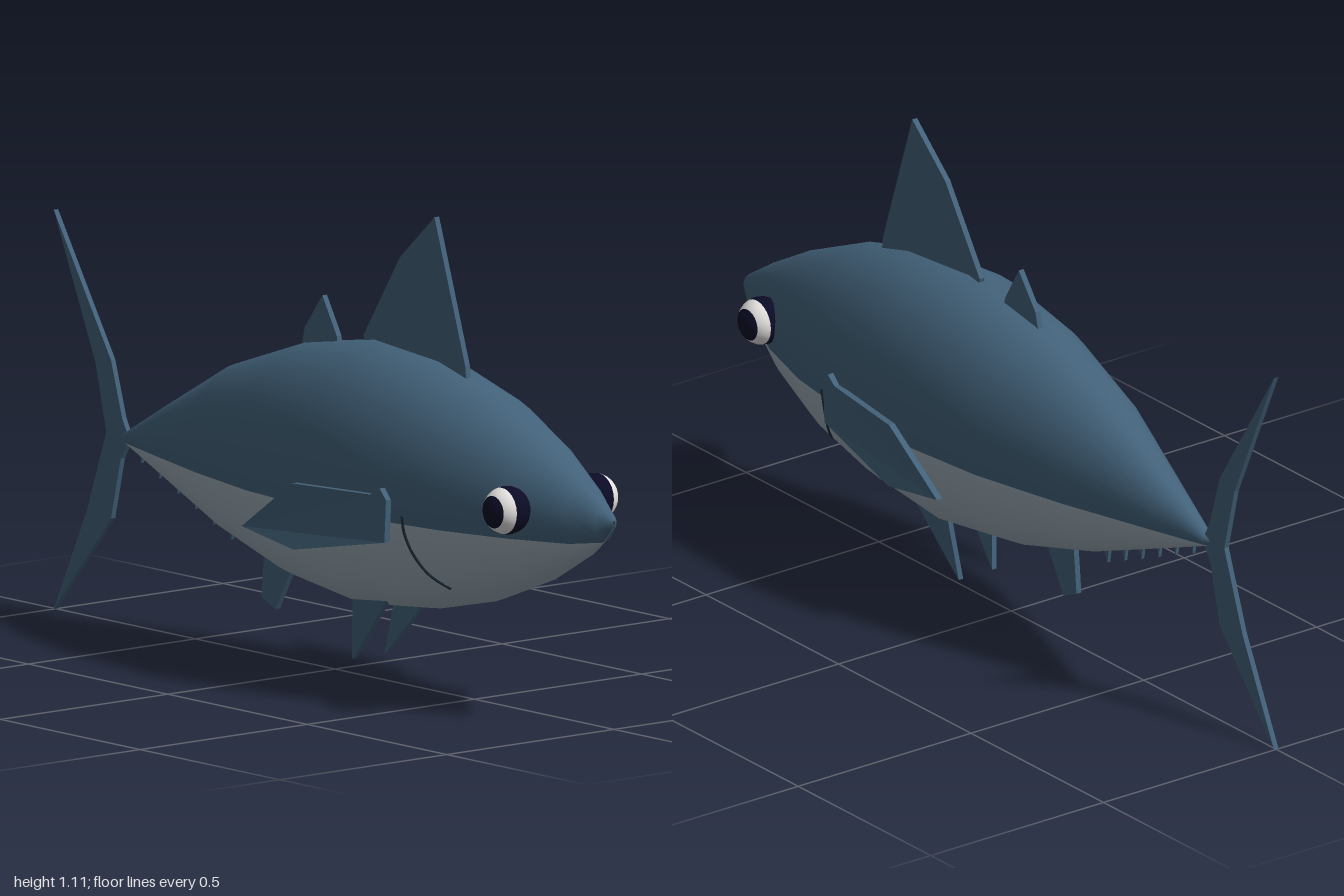
import * as THREE from 'three';

const mat = (name, color, extra = {}) => {
  const m = new THREE.MeshStandardMaterial({ color, ...extra });
  m.name = name;
  return m;
};

// body stations from nose to tail: z, top y, bottom y, half width
const STATIONS = [
  [1.0, 0.492, 0.482, 0.003], [0.99, 0.505, 0.465, 0.016], [0.965, 0.522, 0.436, 0.03],
  [0.9, 0.565, 0.392, 0.065], [0.76, 0.645, 0.315, 0.123], [0.58, 0.725, 0.245, 0.175],
  [0.38, 0.778, 0.2, 0.204], [0.15, 0.797, 0.178, 0.214], [-0.1, 0.755, 0.21, 0.187],
  [-0.35, 0.67, 0.278, 0.13], [-0.6, 0.535, 0.372, 0.056], [-0.74, 0.457, 0.425, 0.015],
  [-0.765, 0.446, 0.436, 0.003],
];
const WATERLINE = 0.43;

// half width of the body surface at a given height and z
function surfaceX(y, z) {
  let i = 0;
  while (i < STATIONS.length - 2 && STATIONS[i + 1][0] > z) i++;
  const a = STATIONS[i], b = STATIONS[i + 1];
  const t = (z - a[0]) / (b[0] - a[0]);
  const [, top, bottom, w] = a.map((v, k) => v + (b[k] - v) * t);
  const s = (y - (top + bottom) / 2) / ((top - bottom) / 2);
  return w * Math.sqrt(Math.max(0, 1 - s * s));
}

// elliptical loops, divided at the waterline into back and belly
function bodyGeometry() {
  const UP = 18, LOW = 12, N = UP + LOW;
  const pos = [], back = [], belly = [];
  for (const [z, top, bottom, w] of STATIONS) {
    const cy = (top + bottom) / 2, ry = (top - bottom) / 2;
    const a0 = Math.asin(THREE.MathUtils.clamp((WATERLINE - cy) / ry, -0.999, 0.999));
    const a1 = Math.PI - a0;
    for (let j = 0; j < N; j++) {
      const a = j < UP
        ? a0 + (a1 - a0) * j / UP
        : a1 + (a0 + 2 * Math.PI - a1) * (j - UP) / LOW;
      pos.push(w * Math.cos(a), cy + ry * Math.sin(a), z);
    }
  }
  for (let i = 0; i < STATIONS.length - 1; i++) {
    for (let j = 0; j < N; j++) {
      const k = (j + 1) % N;
      const A = i * N + j, B = i * N + k, C = A + N, D = B + N;
      (j < UP ? back : belly).push(A, C, B, B, C, D);
    }
  }
  const g = new THREE.BufferGeometry();
  g.setAttribute('position', new THREE.Float32BufferAttribute(pos, 3));
  g.setIndex([...back, ...belly]);
  g.addGroup(0, back.length, 0);
  g.addGroup(back.length, belly.length, 1);
  g.computeVertexNormals();
  return g;
}

// flat plate from a (z, y) outline; bend(y, z) gives its sideways offset
function finGeometry(points, thickness, bend) {
  const shape = new THREE.Shape(points.map(([z, y]) => new THREE.Vector2(z, y)));
  const g = new THREE.ExtrudeGeometry(shape, { depth: thickness, bevelEnabled: false });
  g.translate(0, 0, -thickness / 2);
  g.rotateY(-Math.PI / 2);
  if (bend) {
    const p = g.attributes.position;
    for (let i = 0; i < p.count; i++) p.setX(i, p.getX(i) + bend(p.getY(i), p.getZ(i)));
    g.computeVertexNormals();
  }
  return g;
}

export function createModel() {
  const model = new THREE.Group();
  model.name = 'fish';
  const blue = mat('slate blue', 0x426179, { side: THREE.DoubleSide });
  const pale = mat('pale belly', 0x9cacb7, { side: THREE.DoubleSide });
  const white = mat('eye white', 0xf2eeee);
  const dark = mat('dark navy', 0x0b0b26);
  const line = mat('gill line', 0x1d2c38);

  const add = (name, geometry, material) => {
    const m = new THREE.Mesh(geometry, material);
    m.name = name;
    model.add(m);
    return m;
  };

  add('body', bodyGeometry(), [blue, pale]);

  // fins on the centre line
  add('dorsalFin', finGeometry(
    [[0.48, 0.74], [0.475, 0.78], [0.365, 1.112], [0.24, 1.0], [0.11, 0.8], [0.12, 0.77]], 0.014), blue);
  add('rearDorsalFin', finGeometry(
    [[0.02, 0.75], [0.015, 0.785], [-0.037, 0.873], [-0.1, 0.79], [-0.112, 0.74]], 0.014), blue);
  add('analFin', finGeometry(
    [[-0.13, 0.25], [-0.205, 0.117], [-0.255, 0.138], [-0.243, 0.27]], 0.014), blue);
  add('tailFin', finGeometry(
    [[-0.73, 0.44], [-0.755, 0.485], [-0.795, 0.615], [-1, 0.937], [-0.85, 0.6], [-0.812, 0.445],
      [-0.88, 0.255], [-1, 0.005], [-0.795, 0.245], [-0.76, 0.39]], 0.013), blue);

  // row of finlets under the tail
  for (let i = 0; i < 6; i++) {
    const z = -0.35 - i * 0.066, y = 0.283 + i * 0.0243, s = 1 - i * 0.09;
    add('finlet', finGeometry(
      [[z, y + 0.012], [z - 0.018 * s, y - 0.028 * s], [z - 0.026 * s, y + 0.02]], 0.008), blue);
  }

  for (const side of [1, -1]) {
    const label = side > 0 ? 'left' : 'right';

    // pectoral fin swept out from the flank
    add(label + 'PectoralFin', finGeometry(
      [[0.43, 0.385], [0.435, 0.485], [0.415, 0.51], [0.385, 0.492], [0.14, 0.487], [-0.04, 0.362], [0.145, 0.333]],
      0.016, (y, z) => side * (z > 0.14 ? 0.238 - (z - 0.14) * 0.12 : 0.238)), blue);

    add(label + 'PelvicFin', finGeometry(
      [[0.275, 0.215], [0.19, 0.12], [0.127, 0.053], [0.148, 0.205]],
      0.013, (y) => side * (0.048 + (y - 0.05) * 0.11)), blue);

    // gill slit following the flank
    const curve = new THREE.CatmullRomCurve3(
      [[0.468, 0.45], [0.468, 0.41], [0.482, 0.355], [0.505, 0.31], [0.54, 0.28]].map(
        ([z, y]) => new THREE.Vector3(side * surfaceX(y, z), y, z)));
    add(label + 'GillSlit', new THREE.TubeGeometry(curve, 16, 0.004, 5), line);

    // eye bands around the sideways axis: pupil, white, dark rim
    const eye = new THREE.Group();
    eye.name = label + 'Eye';
    eye.position.set(side * 0.13, 0.5, 0.772);
    eye.rotation.z = -side * Math.PI / 2;
    const bands = [['pupil', 0, 0.74, dark], ['eyeWhite', 0.74, 1.3, white], ['eyeRim', 1.3, Math.PI, dark]];
    for (const [name, from, to, material] of bands) {
      const m = new THREE.Mesh(
        new THREE.SphereGeometry(0.056, 24, 10, 0, Math.PI * 2, from, to - from), material);
      m.name = name;
      eye.add(m);
    }
    model.add(eye);
  }
  return model;
}
